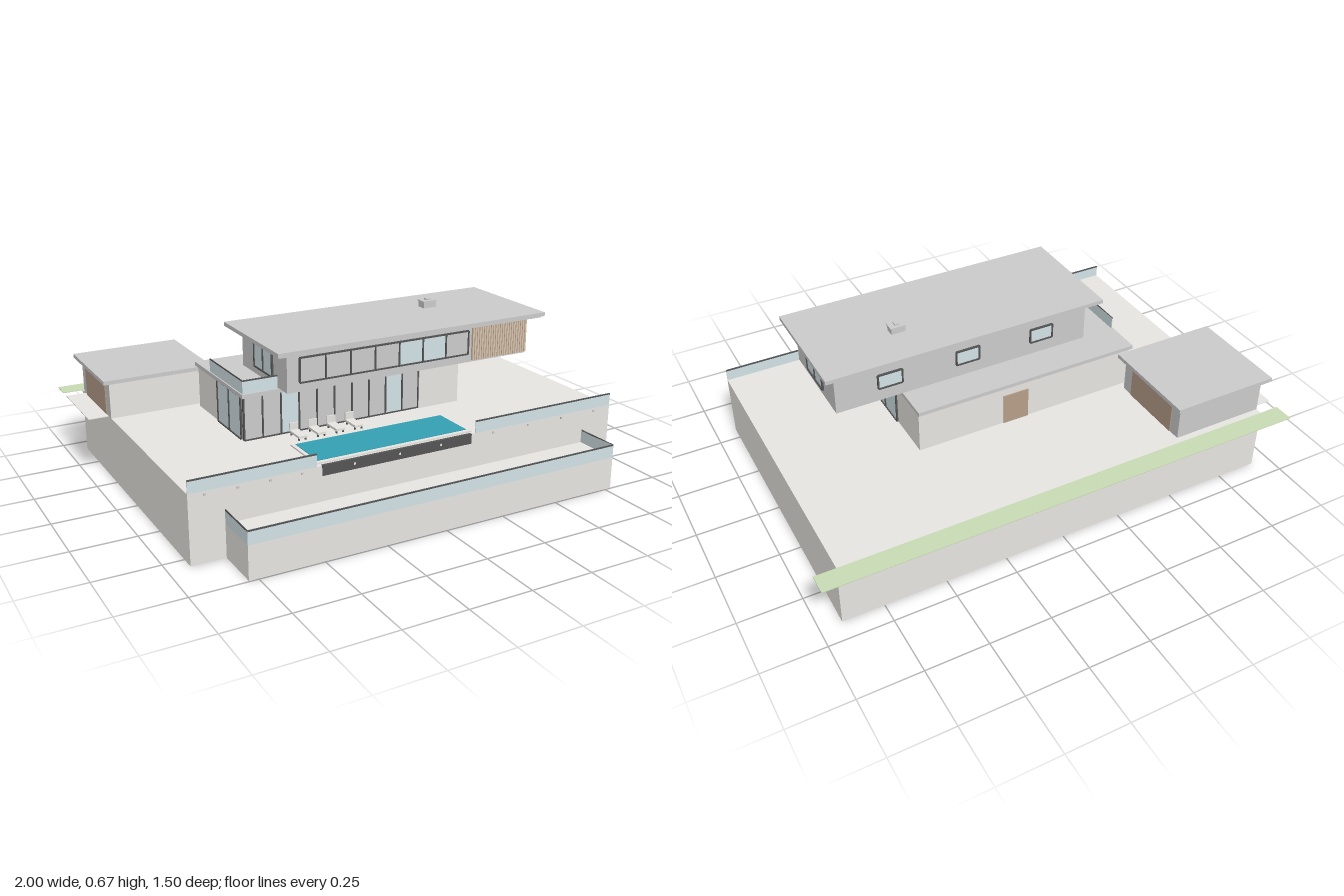
import * as THREE from 'three';

const mat = (color) => new THREE.MeshStandardMaterial({ color, side: THREE.DoubleSide });

export function createModel() {
  const house = new THREE.Group();
  house.name = 'hillsideHouse';
  const grey = mat(0xcccccc), stone = mat(0xe8e6e1), glass = mat(0xd3e3e7), dark = mat(0x555555);
  const wood = mat(0xb89f8a), water = mat(0x35a0b5), grass = mat(0xc9dcb4), slatWood = mat(0xd9c3ad);

  // Box given by its minimum and maximum along each axis
  function block(name, x0, x1, y0, y1, z0, z1, m = grey, parent = house) {
    const mesh = new THREE.Mesh(new THREE.BoxGeometry(x1 - x0, y1 - y0, z1 - z0), m);
    mesh.position.set((x0 + x1) / 2, (y0 + y1) / 2, (z0 + z1) / 2);
    mesh.name = name;
    parent.add(mesh);
    return mesh;
  }
  // Box shell with some sides left out (0 +x, 1 -x, 2 top, 3 bottom, 4 front, 5 back)
  function shell(name, skip, ...args) {
    const g = block(name, ...args).geometry;
    g.setIndex([...g.index.array].filter((v, i) => !skip.includes(Math.floor(i / 6))));
    g.clearGroups();
  }
  // Framed glazing in the xy plane, facing +z; panes listed in clear are blue glass
  function glazing(name, w, h, count, clear, t = 0.006) {
    const g = new THREE.Group();
    g.name = name;
    const step = w / count;
    for (let i = 0; i < count; i++) {
      const x = -w / 2 + i * step;
      block('pane', x, x + step, 0, h, -0.002, 0.002, clear.includes(i) ? glass : grey, g);
    }
    for (let i = 0; i <= count; i++) {
      const x = -w / 2 + i * step;
      block('mullion', x - t / 2, x + t / 2, 0, h, -0.003, 0.006, dark, g);
    }
    for (const y of [0, h]) block('frameRail', -w / 2, w / 2, y - t / 2, y + t / 2, -0.003, 0.006, dark, g);
    house.add(g);
    return g;
  }
  function place(g, x, y, z, turn = 0) {
    g.position.set(x, y, z);
    g.rotation.y = turn;
  }

  // Plot: hollow platform, lower terrace, grass verge, driveway
  const G = 0.268;
  shell('platform', [3], -0.918, 0.915, 0, G, -0.668, 0.558, stone);
  shell('lowerTerrace', [3, 5], -0.785, 0.78, 0, 0.13, 0.558, 0.745, stone);
  block('grassVerge', -1, 1, G - 0.002, G + 0.001, -0.75, -0.668, grass);
  block('driveway', -1, -0.918, G - 0.002, G + 0.001, -0.62, -0.3, stone);

  // Glass railings with dark handrails
  function railing(name, x0, x1, y0, y1, z0, z1) {
    block(name, x0, x1, y0, y1, z0, z1, glass);
    block(name + 'Cap', x0, x1, y1 - 0.004, y1 + 0.001, z0 - 0.001, z1 + 0.001, dark);
  }
  for (const [a, b] of [[-0.918, -0.43], [0.25, 0.915]]) {
    railing('platformRailing', a, b, G, 0.317, 0.555, 0.558);
    for (let i = 0; i < 4; i++) {
      const x = a + (b - a) * (i + 0.5) / 4;
      block('railingClip', x - 0.004, x + 0.004, G - 0.016, G - 0.008, 0.558, 0.562);
    }
  }
  railing('terraceRailing', -0.785, 0.78, 0.13, 0.183, 0.742, 0.745);
  for (const x of [-0.785, 0.777]) railing('terraceSideRailing', x, x + 0.003, 0.13, 0.183, 0.558, 0.742);

  // Pool with overflow edge
  block('poolCoping', -0.425, 0.245, G, 0.274, 0.333, 0.54, stone);
  block('poolWater', -0.41, 0.23, 0.272, 0.276, 0.345, 0.523, water);
  block('poolOverflow', -0.41, 0.23, 0.23, G + 0.002, 0.55, 0.562, dark);
  for (const x of [-0.28, -0.09, 0.09]) block('poolLight', x - 0.004, x + 0.004, 0.248, 0.256, 0.562, 0.564, stone);

  // Sun loungers
  for (let i = 0; i < 4; i++) {
    const x = -0.36 + i * 0.08;
    block('loungerSeat', x - 0.018, x + 0.018, 0.278, 0.287, 0.228, 0.31, stone);
    block('loungerBack', x - 0.018, x + 0.018, 0.287, 0.315, 0.228, 0.233, stone);
    for (const s of [-1, 1]) for (const z of [0.235, 0.3])
      block('loungerLeg', x + s * 0.014 - 0.003, x + s * 0.014 + 0.003, G, 0.28, z, z + 0.005, dark);
  }

  // Ground floor
  block('groundFloor', -0.555, 0.397, G, 0.44, -0.237, 0.205, stone);
  block('frontPier', 0.21, 0.397, G, 0.44, 0.2, 0.217, stone);
  block('groundRoof', -0.565, 0.4, 0.44, 0.456, -0.247, 0.222);
  place(glazing('frontGlazing', 0.765, 0.17, 10, [2, 8]), -0.173, 0.27, 0.207);
  place(glazing('rightGlazing', 0.222, 0.17, 2, [0, 1]), 0.398, 0.27, 0.078, Math.PI / 2);
  place(glazing('leftGlazing', 0.222, 0.17, 2, [0, 1]), -0.556, 0.27, 0.078, -Math.PI / 2);
  block('backDoor', -0.08, 0.03, G, 0.4, -0.241, -0.236, wood);

  // Balcony railing over the ground floor
  railing('balconyRailing', -0.56, -0.417, 0.456, 0.508, 0.212, 0.215);
  railing('balconySideRailing', -0.56, -0.557, 0.456, 0.508, -0.1, 0.212);

  // Upper floor and its overhanging roof
  block('upperFloor', -0.416, 0.674, 0.458, 0.62, -0.105, 0.295);
  block('upperRoof', -0.48, 0.715, 0.622, 0.638, -0.135, 0.36);
  block('roofSoffit', -0.47, 0.705, 0.616, 0.622, -0.125, 0.35);
  place(glazing('upperFrontWindows', 0.75, 0.096, 7, [4, 5]), 0.01, 0.494, 0.297);
  place(glazing('upperRightWindow', 0.16, 0.1, 2, [0, 1]), 0.676, 0.49, 0.096, Math.PI / 2);
  place(glazing('upperLeftWindow', 0.16, 0.1, 2, [0, 1]), -0.418, 0.49, 0.096, -Math.PI / 2);
  for (const x of [0.45, 0.12, -0.21])
    place(glazing('upperBackWindow', 0.1, 0.06, 1, [0]), x, 0.515, -0.107, Math.PI);

  // Vertical timber screen
  for (let i = 0; i < 24; i++) {
    const x = 0.403 + i * 0.0112;
    block('screenSlat', x, x + 0.008, 0.466, 0.612, 0.296, 0.306, slatWood);
  }

  // Chimney
  block('chimney', 0.318, 0.377, 0.638, 0.664, 0.032, 0.072);
  block('chimneyCap', 0.314, 0.381, 0.664, 0.668, 0.028, 0.076);
  block('chimneyPot', 0.338, 0.357, 0.668, 0.674, 0.042, 0.062);

  // Garage
  block('garage', -0.918, -0.525, G, 0.416, -0.64, -0.27);
  block('garageFrontWall', -0.918, -0.525, G, 0.416, -0.27, -0.267, stone);
  block('garageRoof', -0.945, -0.498, 0.416, 0.432, -0.667, -0.245);
  for (const x of [-0.921, -0.526]) block('garageDoor', x, x + 0.004, G, 0.39, -0.59, -0.32, wood);

  return house;
}
